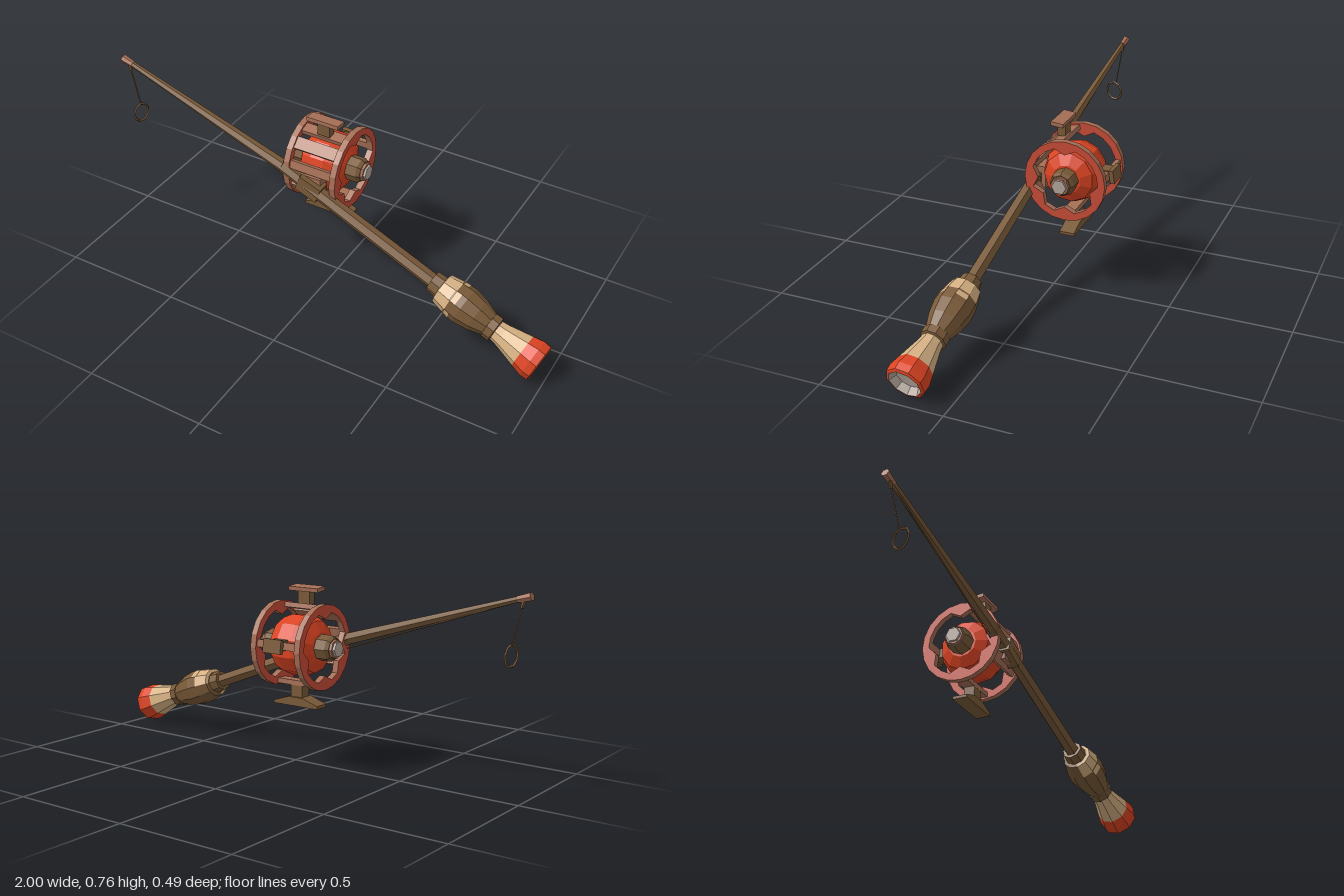
import * as THREE from 'three';

const mat = (name, color) => {
  const m = new THREE.MeshStandardMaterial({ color, flatShading: true });
  m.name = name;
  return m;
};
const V = (x, y, z) => new THREE.Vector3(x, y, z);
const UP = V(0, 1, 0);

export function createModel() {
  const wood = mat('brown wood', 0x7a5a38);
  const tan = mat('pale tan', 0xd6b183);
  const red = mat('orange red', 0xdc4422);
  const ringRed = mat('dull red', 0xc94c38);
  const copper = mat('copper', 0xa66f56);
  const grey = mat('warm grey', 0xb3a69b);

  const root = new THREE.Group();
  root.name = 'fishingRod';

  const add = (parent, name, geo, material, p = [0, 0, 0]) => {
    const m = new THREE.Mesh(geo, material);
    m.name = name;
    m.position.set(...p);
    parent.add(m);
    return m;
  };
  // Tapered bar from a to b
  const bar = (name, a, b, ra, rb, sides, material) => {
    const d = b.clone().sub(a);
    const m = add(root, name, new THREE.CylinderGeometry(rb, ra, d.length(), sides), material);
    m.position.copy(a).add(b).multiplyScalar(0.5);
    m.quaternion.setFromUnitVectors(UP, d.normalize());
    return m;
  };
  // Lathe from [radius, height] pairs
  const lathe = (pts, seg, start = 0, len = Math.PI * 2) =>
    new THREE.LatheGeometry(pts.map(p => new THREE.Vector2(...p)), seg, start, len);

  // Pole, slightly bent at the reel
  const tip = V(-0.975, 0.755, 0.053), bend = V(-0.2, 0.522, 0.087);
  const gripStart = V(0.5, 0.255, 0.128), gripEnd = V(0.97, 0.083, 0.163);
  bar('upperPole', bend, tip, 0.026, 0.012, 6, wood);
  bar('lowerPole', gripStart, bend, 0.03, 0.027, 6, wood);
  bar('poleTip', V(-0.945, 0.746, 0.054), V(-0.997, 0.76, 0.052), 0.014, 0.017, 6, copper);

  // Line and hook loop
  const hang = V(-0.965, 0.745, 0.055), eye = V(-0.918, 0.575, 0.068);
  bar('lineAlongPole', V(-0.2, 0.485, 0.075), hang, 0.003, 0.003, 4, wood);
  bar('hangingLine', hang, eye, 0.003, 0.003, 4, wood);
  bar('lineKnot', V(-0.968, 0.752, 0.055), V(-0.958, 0.715, 0.056), 0.009, 0.006, 5, wood);
  const hook = add(root, 'hookLoop', new THREE.TorusGeometry(0.037, 0.005, 4, 9), wood, [-0.913, 0.535, 0.075]);
  hook.rotation.set(0, Math.PI / 2 - 0.2, 0.2);
  hook.scale.y = 1.12;

  // Grip, built along its own axis
  const grip = new THREE.Group();
  grip.name = 'grip';
  grip.position.copy(gripStart);
  grip.quaternion.setFromUnitVectors(UP, gripEnd.clone().sub(gripStart).normalize());
  root.add(grip);
  add(grip, 'gripCollar', lathe([[0, -0.005], [0.042, -0.005], [0.046, 0.045], [0.03, 0.05]], 8), wood);
  add(grip, 'gripBulge', lathe([[0.03, 0.035], [0.06, 0.042], [0.074, 0.1], [0.078, 0.15], [0.068, 0.21], [0.046, 0.275]], 10), wood);
  for (let i = 5; i < 12; i++) { // jagged worn patch
    const top = i % 2 ? [0.0765, 0.1] : [0.0785, 0.125];
    add(grip, 'wornPatch', lathe([[0.05, 0.038], [0.0625, 0.041], top], 1, i * Math.PI / 5, Math.PI / 5), tan);
  }
  add(grip, 'gripRing', lathe([[0.04, 0.262], [0.053, 0.266], [0.053, 0.298], [0.04, 0.302]], 9), wood);
  add(grip, 'gripFlare', lathe([[0.042, 0.295], [0.047, 0.33], [0.07, 0.425]], 9), tan);
  add(grip, 'gripPommel', lathe([[0.07, 0.425], [0.081, 0.47], [0.079, 0.5], [0.066, 0.505]], 9), red);
  add(grip, 'pommelRecess', lathe([[0.066, 0.505], [0.052, 0.475], [0, 0.47]], 9), grey);

  // Reel, its axle along x
  const reel = new THREE.Group();
  reel.name = 'reel';
  reel.position.set(-0.075, 0.505, -0.063);
  root.add(reel);
  const axle = new THREE.Group();
  axle.name = 'axle';
  axle.rotation.z = -Math.PI / 2;
  reel.add(axle);
  add(axle, 'spool', lathe([[0, -0.1], [0.06, -0.098], [0.104, -0.075], [0.122, -0.03],
    [0.122, 0.03], [0.104, 0.075], [0.06, 0.098], [0, 0.1]], 11), red);

  // Hubs on both ends
  for (const s of [1, -1]) {
    const hub = new THREE.Group();
    hub.name = s > 0 ? 'leftHub' : 'rightHub';
    if (s < 0) hub.rotation.z = Math.PI;
    axle.add(hub);
    add(hub, 'hubBase', lathe([[0.052, 0.09], [0.052, 0.145], [0.043, 0.16], [0.034, 0.16]], 8), wood);
    add(hub, 'hubCollar', new THREE.CylinderGeometry(0.038, 0.041, 0.025, 8), copper, [0, 0.158, 0]);
    add(hub, 'hubNut', new THREE.CylinderGeometry(0.031, 0.033, 0.03, 6), grey, [0, 0.165, 0]);
  }

  // Side rings with a few inward teeth
  const N = 20;
  const teeth = [0, 5, 11, 15, 18];
  const at = (r, i) => new THREE.Vector2(r * Math.cos(i * 2 * Math.PI / N), r * Math.sin(i * 2 * Math.PI / N));
  const shape = new THREE.Shape(Array.from({ length: N }, (_, i) => at(0.169, i)));
  shape.holes.push(new THREE.Path(Array.from({ length: N }, (_, i) => at(teeth.includes(i) ? 0.112 : 0.14, i))));
  for (const x of [0.12, -0.09]) {
    const geo = new THREE.ExtrudeGeometry(shape, { depth: 0.026, bevelEnabled: false });
    const ring = add(reel, 'sideRing', geo, [ringRed, copper], [x, 0, 0]);
    ring.rotation.y = -Math.PI / 2;
  }

  // Cross bars between the rings; angle 0 faces the front, 90 faces up
  for (const [deg, width] of [[75, 0.045], [48, 0.05], [15, 0.035], [-28, 0.045], [-92, 0.05], [173, 0.03]]) {
    const a = deg * Math.PI / 180;
    const m = add(reel, 'crossBar', new THREE.BoxGeometry(0.2, width, 0.02), copper,
      [0, 0.15 * Math.sin(a), 0.15 * Math.cos(a)]);
    m.rotation.x = -a;
  }

  // Pole mount in front of the spool
  add(root, 'poleMount', new THREE.BoxGeometry(0.09, 0.09, 0.05), copper, [-0.07, 0.475, 0.072]);
  const clamp = add(root, 'poleClamp', new THREE.BoxGeometry(0.1, 0.07, 0.055), wood, [-0.07, 0.473, 0.092]);
  clamp.rotation.z = -0.36;

  // Top, bottom and rear feet
  const box = (name, size, p, material) => add(root, name, new THREE.BoxGeometry(...size), material, p);
  box('topStem', [0.055, 0.06, 0.034], [-0.065, 0.69, -0.017], wood);
  const topPlate = box('topPlate', [0.14, 0.016, 0.052], [-0.065, 0.722, -0.014], copper);
  topPlate.rotation.x = -0.1;
  box('bottomStem', [0.055, 0.07, 0.046], [-0.072, 0.318, -0.067], wood);
  const foot = new THREE.Shape([[-0.105, 0], [0.105, 0], [0.105, 0.012], [0.035, 0.035], [-0.035, 0.035], [-0.105, 0.012]]
    .map(p => new THREE.Vector2(...p)));
  add(root, 'bottomPlate', new THREE.ExtrudeGeometry(foot, { depth: 0.062, bevelEnabled: false }), wood, [-0.073, 0.264, -0.1]);
  box('rearStem', [0.06, 0.04, 0.05], [-0.068, 0.522, -0.205], wood);
  const rear = box('rearKnob', [0.085, 0.055, 0.018], [-0.068, 0.522, -0.234], wood);
  rear.rotation.x = 0.15;

  return root;
}
